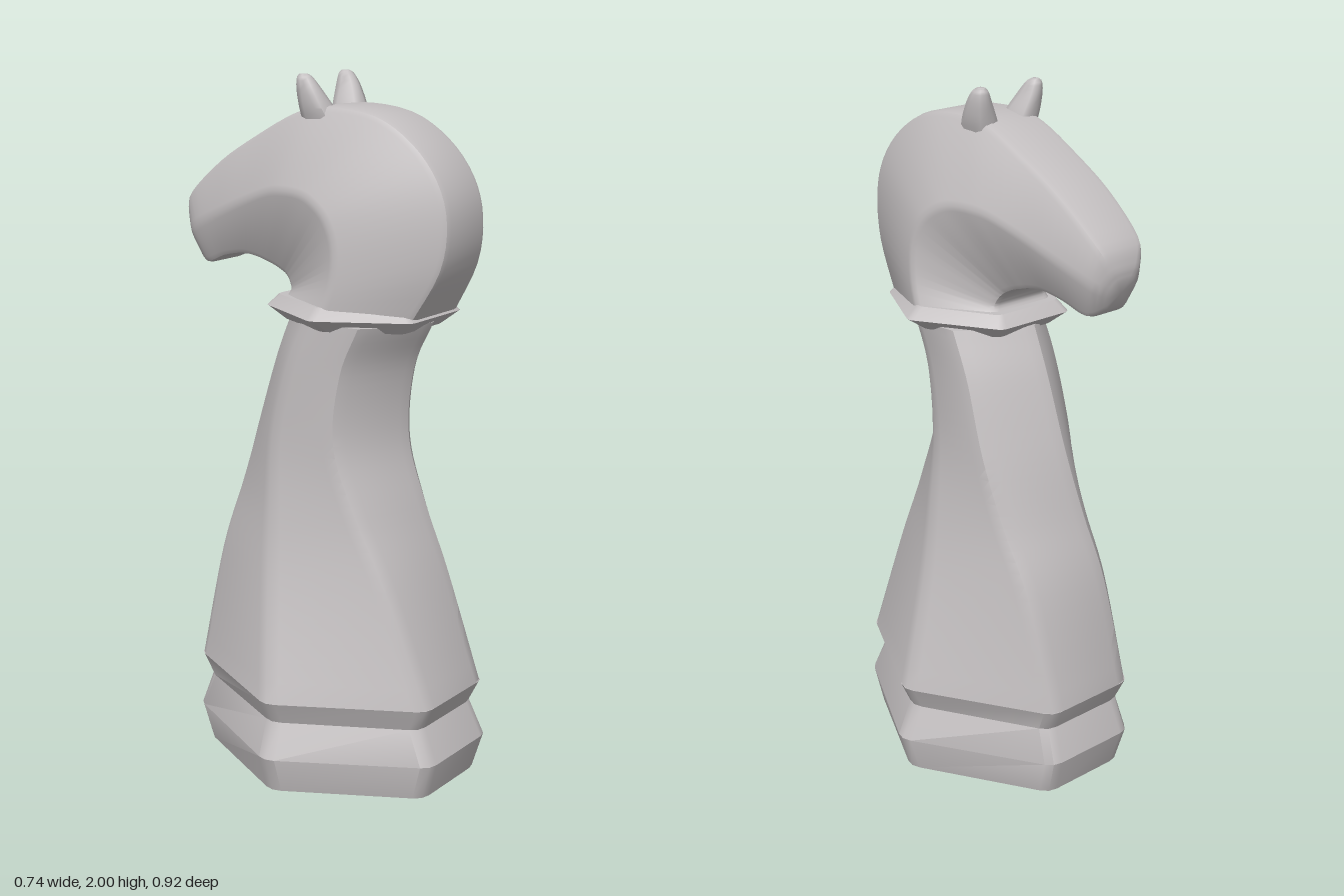
import * as THREE from 'three';
import { toCreasedNormals } from 'three/addons/utils/BufferGeometryUtils.js';

const V = (x, y, z) => new THREE.Vector3(x, y, z);

// Softens every corner of a closed ring with a short three-point fillet.
function fillet(ring, r) {
  const out = [];
  ring.forEach((p, i) => {
    const n = ring.length;
    const toward = (q) => p.clone().lerp(q, Math.min(0.4, r / Math.max(p.distanceTo(q), 1e-4)));
    const a = toward(ring[(i + n - 1) % n]);
    const b = toward(ring[(i + 1) % n]);
    out.push(a, p.clone().multiplyScalar(0.5).addScaledVector(a, 0.25).addScaledVector(b, 0.25), b);
  });
  return out;
}

// Skins a stack of rings (counter-clockwise seen from the end), with capped ends.
// More than one step per ring gives a smooth curve along the stack.
function loft(rings, { steps = 1, radius = 0.03, crease = 0.6 } = {}) {
  const count = (rings.length - 1) * steps;
  const rails = rings[0].map((_, j) => new THREE.CatmullRomCurve3(rings.map((r) => r[j]), false, 'catmullrom'));
  const skins = [];
  for (let i = 0; i <= count; i++) {
    const ring = steps === 1 ? rings[i] : rails.map((c) => c.getPoint(i / count));
    skins.push(fillet(ring, radius));
  }
  const pos = [];
  const tri = (...pts) => pts.forEach((p) => pos.push(p.x, p.y, p.z));
  const n = skins[0].length;
  for (let i = 0; i < count; i++) {
    for (let j = 0; j < n; j++) {
      const k = (j + 1) % n;
      const [a, b, c, d] = [skins[i][j], skins[i][k], skins[i + 1][k], skins[i + 1][j]];
      tri(a, b, c);
      tri(a, c, d);
    }
  }
  [skins[0], skins[count]].forEach((ring, end) => {
    const mid = ring.reduce((s, p) => s.add(p), V(0, 0, 0)).divideScalar(n);
    ring.forEach((p, j) => {
      const q = ring[(j + 1) % n];
      if (end) tri(mid, p, q);
      else tri(mid, q, p);
    });
  });
  const geo = new THREE.BufferGeometry();
  geo.setAttribute('position', new THREE.Float32BufferAttribute(pos, 3));
  return toCreasedNormals(geo, crease);
}

// Six-sided section: three corners [x, z], the others by point symmetry about z = zc.
function hex(y, zc, ...corners) {
  return [1, -1].flatMap((s) => corners.map(([x, z]) => V(s * x, y, zc + s * z)));
}

// Untwisted six-sided section with half width w, half depth d and end width f.
const plainHex = (y, zc, w, d, f) => hex(y, zc, [f, d], [w, 0], [f, -d]);

export function createModel() {
  const group = new THREE.Group();
  const stone = new THREE.MeshStandardMaterial({ color: 0xc4c0c1 });
  stone.name = 'warm grey';
  const add = (name, geo) => {
    const mesh = new THREE.Mesh(geo, stone);
    mesh.name = name;
    group.add(mesh);
    return mesh;
  };

  // Foot with a waist above it
  add('base', loft([
    plainHex(0, 0.045, 0.345, 0.385, 0.14),
    plainHex(0.105, 0.045, 0.378, 0.415, 0.15),
    plainHex(0.205, 0.04, 0.335, 0.375, 0.14),
    plainHex(0.27, 0.04, 0.367, 0.405, 0.15),
  ]));

  // Tapering shaft whose corners twist on the way up
  add('shaft', loft([
    hex(0.27, 0.04, [0.15, 0.405], [0.367, 0], [0.15, -0.405]),
    hex(0.6, 0.02, [0.1, 0.345], [0.275, 0.04], [0.17, -0.3]),
    hex(0.8, 0.017, [0.055, 0.3], [0.228, 0.065], [0.188, -0.21]),
    hex(1.0, 0.02, [0.02, 0.258], [0.19, 0.085], [0.203, -0.14]),
    hex(1.2, 0.06, [0.01, 0.237], [0.175, 0.085], [0.203, -0.12]),
    hex(1.34, 0.12, [0.01, 0.24], [0.17, 0.085], [0.203, -0.12]),
  ], { steps: 6, radius: 0.04 }));

  // Sharp-edged collar
  add('collar', loft([
    plainHex(1.32, 0.12, 0.2, 0.2, 0.1),
    plainHex(1.358, 0.12, 0.258, 0.245, 0.125),
    plainHex(1.39, 0.12, 0.22, 0.215, 0.11),
  ], { radius: 0.015 }));

  // Head: stations along the arched neck to the muzzle
  // crest z, y, half width | cheek ridge z, y, half width | throat z, y, half width
  const stations = [
    [0.352, 1.35, 0.115, 0.12, 1.35, 0.222, -0.115, 1.35, 0.11],
    [0.435, 1.5, 0.1, 0.155, 1.45, 0.214, -0.065, 1.395, 0.1],
    [0.452, 1.63, 0.095, 0.16, 1.55, 0.208, -0.068, 1.42, 0.095],
    [0.42, 1.738, 0.095, 0.13, 1.625, 0.203, -0.085, 1.44, 0.09],
    [0.34, 1.833, 0.095, 0.08, 1.668, 0.195, -0.105, 1.452, 0.09],
    [0.22, 1.9, 0.095, 0.03, 1.686, 0.186, -0.13, 1.463, 0.09],
    [0.06, 1.916, 0.095, -0.04, 1.688, 0.175, -0.16, 1.472, 0.09],
    [-0.05, 1.893, 0.095, -0.1, 1.678, 0.163, -0.19, 1.48, 0.09],
    [-0.18, 1.828, 0.093, -0.2, 1.642, 0.143, -0.24, 1.484, 0.088],
    [-0.31, 1.75, 0.09, -0.3, 1.6, 0.124, -0.31, 1.47, 0.082],
    [-0.43, 1.65, 0.08, -0.39, 1.56, 0.104, -0.365, 1.447, 0.072],
    [-0.46, 1.59, 0.055, -0.43, 1.535, 0.082, -0.395, 1.445, 0.06],
    [-0.462, 1.55, 0.03, -0.45, 1.52, 0.045, -0.425, 1.465, 0.035],
  ];
  add('head', loft(stations.map(([cz, cy, cw, rz, ry, rw, tz, ty, tw]) => [
    V(cw, cy, cz), V(rw, ry, rz), V(tw, ty, tz),
    V(-tw, ty, tz), V(-rw, ry, rz), V(-cw, cy, cz),
  ]), { steps: 4, radius: 0.018 }));

  // Ears: x range and z range at each height
  const earSections = [
    [1.86, 0.025, 0.1, -0.02, 0.085],
    [1.91, 0.042, 0.115, -0.025, 0.062],
    [1.96, 0.066, 0.12, -0.03, 0.036],
    [1.99, 0.08, 0.116, -0.028, 0.014],
    [2.0, 0.09, 0.108, -0.022, 0],
  ];
  for (const side of [1, -1]) {
    const rings = earSections.map(([y, x0, x1, z0, z1]) => {
      const [a, b] = side > 0 ? [x0, x1] : [-x1, -x0];
      return [V(a, y, z1), V(b, y, z1), V(b, y, z0), V(a, y, z0)];
    });
    add(side > 0 ? 'leftEar' : 'rightEar', loft(rings, { steps: 3, radius: 0.025, crease: 1 }));
  }
  return group;
}
